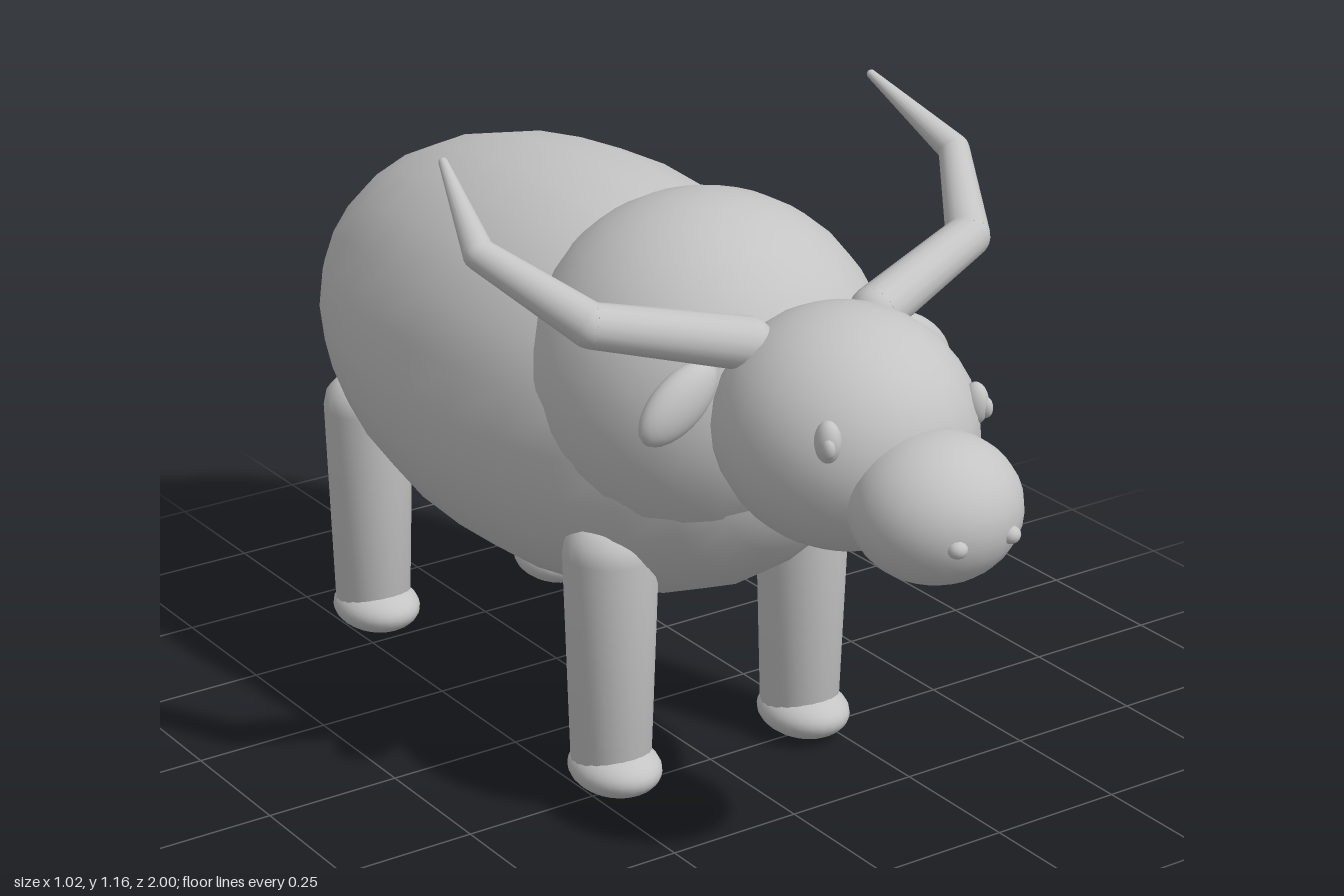
import * as THREE from 'three';

export function createModel() {
  const model = new THREE.Group();
  const hide = new THREE.MeshStandardMaterial({ name: 'grey hide', color: 0xc4c4c4 });

  const add = (name, geometry, parent = model) => {
    const mesh = new THREE.Mesh(geometry, hide);
    mesh.name = name;
    parent.add(mesh);
    return mesh;
  };

  // Ellipsoid from centre and radii
  const ellipsoid = (name, c, r, parent = model, w = 24, h = 16) => {
    const mesh = add(name, new THREE.SphereGeometry(1, w, h), parent);
    mesh.position.set(...c);
    mesh.scale.set(...r);
    return mesh;
  };

  // Chain of tapered cylinders with ball joints at the bends
  const chain = (name, points, radii, parent = model) => {
    const group = new THREE.Group();
    group.name = name;
    parent.add(group);
    const p = points.map((a) => new THREE.Vector3(...a));
    for (let i = 0; i < p.length - 1; i++) {
      const dir = p[i + 1].clone().sub(p[i]);
      const seg = add(name + 'Segment', new THREE.CylinderGeometry(radii[i + 1], radii[i], dir.length(), 16), group);
      seg.position.copy(p[i]).addScaledVector(dir, 0.5);
      seg.quaternion.setFromUnitVectors(new THREE.Vector3(0, 1, 0), dir.normalize());
    }
    p.forEach((q, i) => ellipsoid(name + 'Joint', q.toArray(), Array(3).fill(radii[i]), group, 16, 10));
    return group;
  };

  // Trunk, shoulder hump, head and muzzle, with poles along z on the trunk
  const body = ellipsoid('body', [0, 0.635, -0.165], [0.365, 0.685, 0.377]);
  body.rotation.x = Math.PI / 2;
  ellipsoid('shoulderHump', [0, 0.74, 0.23], [0.31, 0.31, 0.32]);
  ellipsoid('head', [0, 0.765, 0.62], [0.215, 0.202, 0.23]);
  ellipsoid('muzzle', [0, 0.707, 0.86], [0.143, 0.123, 0.138]);

  for (const s of [1, -1]) {
    const side = s > 0 ? 'left' : 'right';

    // Face
    ellipsoid(side + 'Eye', [s * 0.148, 0.82, 0.77], [0.021, 0.036, 0.024], model, 16, 12);
    ellipsoid(side + 'Pupil', [s * 0.158, 0.815, 0.784], [0.011, 0.018, 0.014], model, 12, 8);
    ellipsoid(side + 'Nostril', [s * 0.053, 0.69, 0.983], [0.017, 0.015, 0.017], model, 12, 8);
    const ear = ellipsoid(side + 'Ear', [s * 0.24, 0.813, 0.49], [0.087, 0.048, 0.034]);
    ear.rotation.z = -s * 0.66;

    // Horn sweeping out, back and up
    chain(side + 'Horn',
      [[s * 0.13, 0.905, 0.525], [s * 0.382, 0.965, 0.45], [s * 0.483, 1.055, 0.28], [s * 0.438, 1.152, 0.1]],
      [0.045, 0.038, 0.027, 0.008]);

    // Legs with rounded tops and hooves
    for (const [end, z] of [['Front', 0.237], ['Rear', -0.575]]) {
      const leg = new THREE.Group();
      leg.name = side + end + 'Leg';
      leg.position.set(s * 0.203, 0, z);
      model.add(leg);
      const profile = [[0, 0.04], [0.07, 0.04], [0.083, 0.45], [0.077, 0.48], [0.058, 0.502], [0.03, 0.511], [0, 0.513]];
      add('shank', new THREE.LatheGeometry(profile.map((q) => new THREE.Vector2(...q)), 20), leg);
      ellipsoid('hoof', [0, 0.048, 0.012], [0.078, 0.046, 0.093], leg);
    }
  }

  // Tail with tuft
  chain('tail', [[0, 0.725, -0.83], [0, 0.53, -0.945], [0, 0.32, -0.962]], [0.023, 0.018, 0.012]);
  ellipsoid('tailTuft', [0, 0.275, -0.965], [0.033, 0.064, 0.035], model, 16, 12);

  return model;
}
